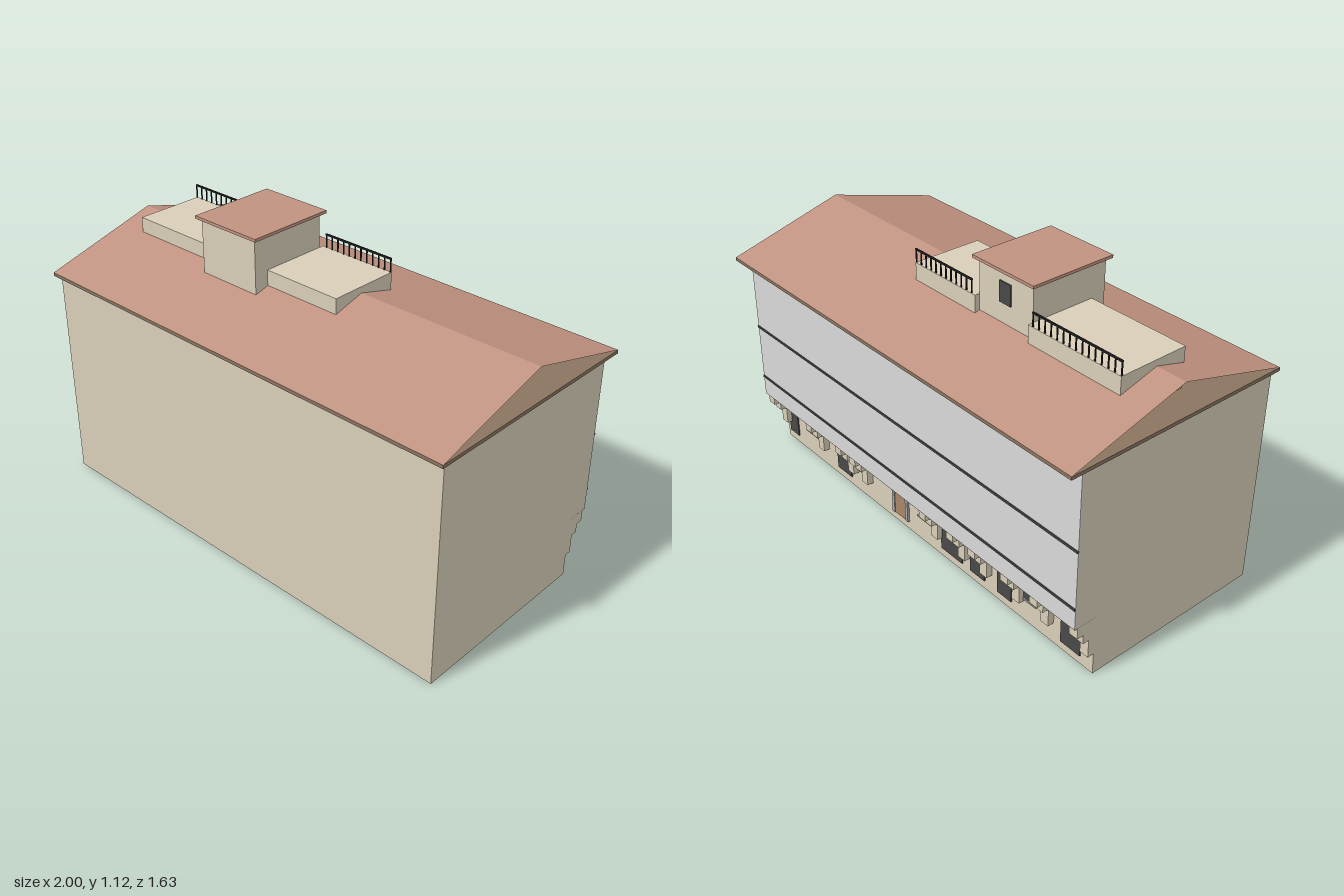
import * as THREE from 'three';

const paint = (name, color, side = THREE.FrontSide) => {
  const m = new THREE.MeshStandardMaterial({ color, side });
  m.name = name;
  return m;
};

export function createModel() {
  const cream = paint('creamPlaster', 0xd8ceb8);
  const grey = paint('greyRender', 0xd8d8d8);
  const soffitGrey = paint('soffitGrey', 0xa8a8a8);
  const tile = paint('terracottaRoof', 0xc09280, THREE.DoubleSide);
  const wood = paint('eaveWood', 0x8a745f);
  const dark = paint('darkOpening', 0x484848);
  const iron = paint('blackIron', 0x222222);
  const doorWood = paint('doorWood', 0xa88468);

  const model = new THREE.Group();
  model.name = 'building';
  const house = new THREE.Group();
  house.name = 'house';
  house.rotation.y = -THREE.MathUtils.degToRad(28.1);
  model.add(house);

  const add = (name, geometry, material, parent = house) => {
    const mesh = new THREE.Mesh(geometry, material);
    mesh.name = name;
    parent.add(mesh);
    return mesh;
  };
  // Box given by its lower and upper limits on each axis
  const box = (name, material, x0, x1, y0, y1, z0, z1, parent) => {
    const g = new THREE.BoxGeometry(x1 - x0, y1 - y0, z1 - z0);
    g.translate((x0 + x1) / 2, (y0 + y1) / 2, (z0 + z1) / 2);
    return add(name, g, material, parent);
  };
  const group = (name) => {
    const g = new THREE.Group();
    g.name = name;
    house.add(g);
    return g;
  };

  const L = 0.88;          // half length of the walls
  const front = 0.426;     // plain wall
  const base = -0.305;     // ground floor of the street facade
  const upper = -0.39;     // overhanging upper floors
  const jetty = 0.237;     // underside of the overhang

  // Walls: one section with the overhang, extruded along the length
  const section = new THREE.Shape();
  section.moveTo(base, 0);
  section.lineTo(front, 0);
  section.lineTo(front, 0.826);
  section.lineTo(upper, 0.826);
  section.lineTo(upper, jetty);
  section.lineTo(base, jetty);
  section.closePath();
  const walls = new THREE.ExtrudeGeometry(section, { depth: 2 * L, bevelEnabled: false });
  walls.translate(0, 0, -L);
  walls.rotateY(-Math.PI / 2);
  add('walls', walls, cream);

  // Grey upper facade with its soffit and string courses
  box('upperFacade', grey, -L, L, jetty, 0.825, upper - 0.004, upper);
  box('soffit', soffitGrey, -L, L, jetty - 0.004, jetty, upper - 0.003, base);
  for (const y of [0.315, 0.536]) {
    box('stringCourse', dark, -L, L, y - 0.004, y + 0.004, upper - 0.008, upper);
  }

  // Stepped corbels below the overhang
  const corbels = group('corbels');
  const steps = [[0.083, 0.155, 0.025], [0.155, 0.19, 0.05], [0.19, jetty - 0.003, 0.076]];
  for (const x of [0.862, 0.6, 0.4, 0.31, -0.11, -0.26, -0.375, -0.54, -0.68, -0.862]) {
    for (const [y0, y1, d] of steps) {
      box('corbelStep', cream, x - 0.018, x + 0.018, y0, y1, base - d, base, corbels);
    }
  }

  // Ground floor openings: centre, width, bottom, top
  const openings = group('groundFloorOpenings');
  const list = [
    [0.83, 0.06, 0.035, 0.18], [0.69, 0.06, 0.105, 0.17], [0.475, 0.09, 0.035, 0.18],
    [0.36, 0.06, 0.105, 0.17], [-0.03, 0.06, 0.105, 0.17], [-0.18, 0.115, 0.035, 0.19],
    [-0.32, 0.075, 0.035, 0.18], [-0.46, 0.07, 0.035, 0.16], [-0.58, 0.06, 0.1, 0.16],
    [-0.78, 0.09, 0.035, 0.19],
  ];
  for (const [x, w, y0, y1] of list) {
    box('opening', dark, x - w / 2, x + w / 2, y0, y1, base - 0.005, base, openings);
    box('lintel', soffitGrey, x - w / 2 - 0.01, x + w / 2 + 0.01, y1, y1 + 0.006, base - 0.009, base, openings);
    if (y0 > 0.05) {
      box('sill', soffitGrey, x - w / 2 - 0.01, x + w / 2 + 0.01, y0 - 0.006, y0, base - 0.009, base, openings);
    }
  }

  // Wooden entrance with jambs and a small canopy
  const entrance = group('entrance');
  box('entranceDoor', doorWood, 0.083, 0.147, 0.035, 0.2, base - 0.006, base, entrance);
  for (const x of [0.076, 0.154]) {
    box('doorJamb', soffitGrey, x - 0.007, x + 0.007, 0.035, 0.2, base - 0.009, base, entrance);
  }
  box('doorCanopy', dark, 0.06, 0.17, 0.2, 0.208, base - 0.02, base, entrance);

  // Eave slab and two roof slopes with open gables
  const RX = 0.893, RZ = 0.449, eave = 0.838, rise = 0.125;
  box('eaveSlab', wood, -RX, RX, 0.825, eave, -RZ, RZ);
  const pitch = Math.atan2(rise, RZ);
  for (const s of [1, -1]) {
    const slope = new THREE.PlaneGeometry(2 * RX, Math.hypot(RZ, rise));
    slope.rotateX(s * pitch - Math.PI / 2);
    slope.translate(0, eave + rise / 2, (s * RZ) / 2);
    add(s > 0 ? 'frontRoofSlope' : 'backRoofSlope', slope, tile);
  }

  // Rooftop room
  const room = group('rooftopRoom');
  box('roomWalls', cream, -0.378, -0.122, eave, 1.113, -0.13, 0.178, room);
  box('roomRoof', tile, -0.395, -0.105, 1.113, 1.124, -0.147, 0.192, room);
  box('roomWindow', dark, -0.277, -0.223, 1.0, 1.075, -0.135, -0.13, room);

  // Terraces beside the room, each railed along its back edge
  for (const [name, x0, x1] of [['rightTerrace', -0.122, 0.19], ['leftTerrace', -0.777, -0.378]]) {
    const terrace = group(name);
    box('terraceBlock', cream, x0, x1, eave, 0.986, -0.15, 0.122, terrace);
    const a = x0 < -0.5 ? x0 : -0.105;
    const b = x0 < -0.5 ? -0.395 : x1;
    box('handrail', iron, a, b, 1.032, 1.038, -0.15, -0.144, terrace);
    const n = Math.round((b - a) / 0.028);
    for (let i = 0; i <= n; i++) {
      const x = a + 0.002 + ((b - a - 0.004) * i) / n;
      box('baluster', iron, x - 0.002, x + 0.002, 0.986, 1.033, -0.149, -0.145, terrace);
    }
  }
  return model;
}
